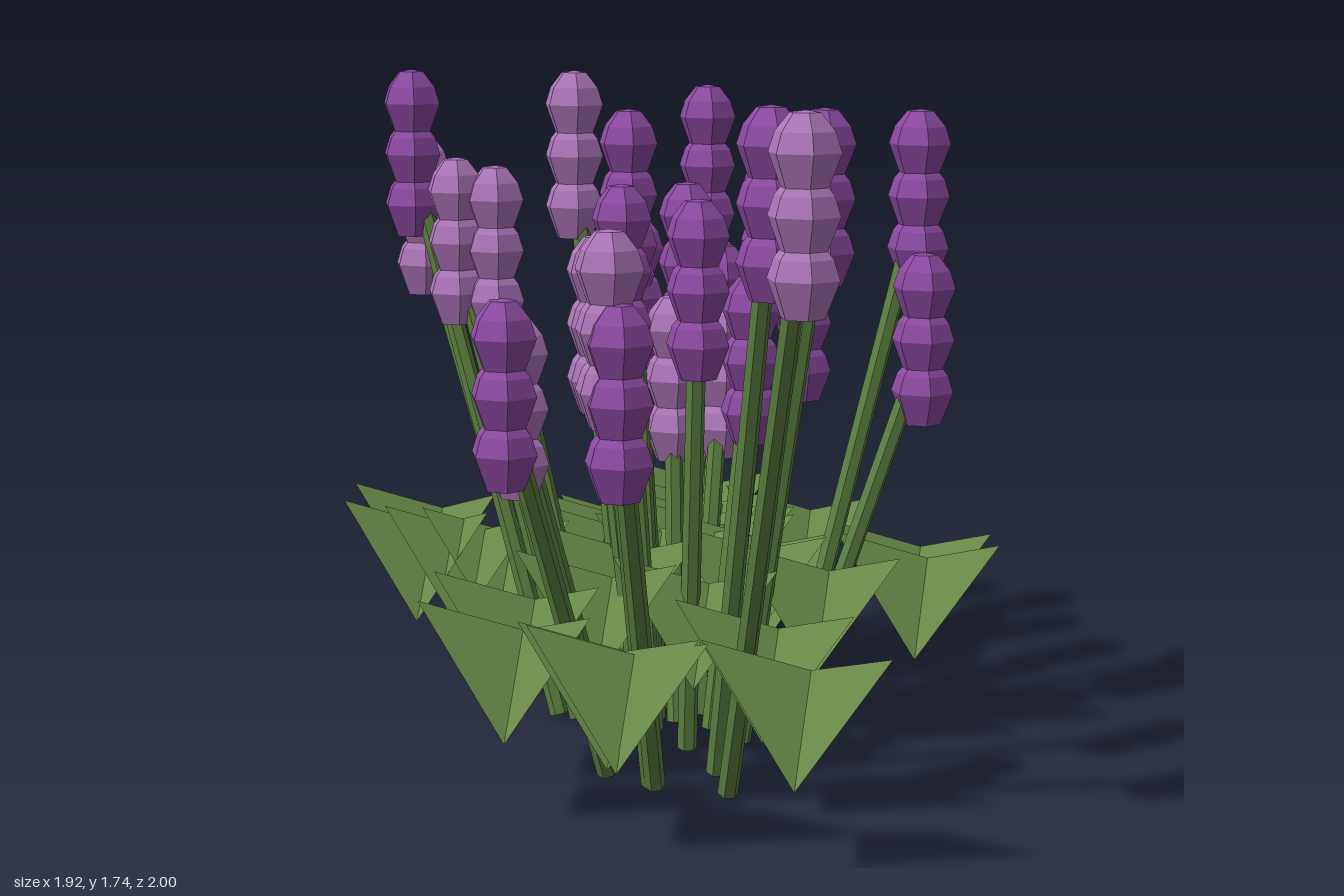
import * as THREE from 'three';

const material = (name, color, side = THREE.FrontSide) => {
  const m = new THREE.MeshStandardMaterial({ color, side });
  m.name = name;
  return m;
};

// Faceted normals for the low-poly look
const facet = (geometry) => {
  const g = geometry.index ? geometry.toNonIndexed() : geometry;
  g.computeVertexNormals();
  return g;
};

// Each flower: x, z, height of the tip, 1 = pale bloom
const FLOWERS = [
  [-0.115, -0.905, 1.37, 0], [-0.02, -0.655, 1.685, 0], [0.01, -0.64, 1.26, 0],
  [0.265, -0.665, 1.25, 0], [-0.745, -0.31, 1.55, 1], [-0.67, -0.095, 1.74, 0],
  [-0.53, -0.07, 1.51, 1], [-0.425, -0.09, 1.49, 1], [-0.24, -0.2, 1.74, 1],
  [-0.135, -0.385, 1.34, 0], [-0.15, -0.355, 1.27, 0], [-0.005, -0.445, 1.43, 0],
  [0.09, -0.47, 1.26, 0], [0.12, -0.375, 1.13, 1], [-0.09, -0.215, 1.64, 0],
  [0.045, -0.2, 1.15, 1], [-0.03, -0.01, 1.46, 0], [0.305, -0.235, 1.53, 0],
  [0.28, -0.15, 1.22, 0], [0.675, -0.34, 1.65, 0], [0.725, -0.22, 1.29, 0],
  [0.52, 0.01, 1.67, 0], [0.015, 0.275, 1.36, 1], [0.27, 0.245, 1.455, 0],
  [-0.085, 0.55, 1.19, 1], [0.565, 0.59, 1.71, 0], [0, 0.82, 1.27, 0],
  [0.295, 0.905, 1.45, 1], [0.325, 0.925, 1.29, 0], [0.74, 0.9, 1.72, 1],
];

export function createModel() {
  const stemGreen = material('stem green', 0x5c8040);
  const leafGreen = material('leaf green', 0x6b8e4a, THREE.DoubleSide);
  const purple = material('deep purple', 0x8e4aa3);
  const lilac = material('pale lilac', 0xae76ba);

  // Six-sided bud, tip at y = 0, tapering to a flat underside
  const budProfile = [
    [0, -0.175], [0.05, -0.175], [0.083, -0.09], [0.068, -0.045], [0.035, -0.005], [0, 0],
  ].map(([r, y]) => new THREE.Vector2(r, y));
  const budGeometry = facet(new THREE.LatheGeometry(budProfile, 6, Math.PI / 2));

  // Folded leaf: two triangles meeting along a central crease
  const left = [-0.22, 0.54, 0.02], right = [0.22, 0.54, 0.02];
  const foot = [0, 0.21, 0.02], notch = [0, 0.46, -0.1];
  const leafGeometry = new THREE.BufferGeometry();
  leafGeometry.setAttribute('position', new THREE.Float32BufferAttribute(
    [left, foot, notch, notch, foot, right].flat(), 3));
  leafGeometry.computeVertexNormals();

  const up = new THREE.Vector3(0, 1, 0);
  const model = new THREE.Group();
  model.name = 'flowerClump';

  FLOWERS.forEach(([x, z, tip, pale]) => {
    const flower = new THREE.Group();
    flower.name = 'flower';

    // Stem leans outward from the tighter ring of roots
    const base = new THREE.Vector3(0.09 + 0.45 * x, 0.015, 0.035 + 0.45 * z);
    const end = new THREE.Vector3(x, tip - 0.25, z);
    const axis = end.clone().sub(base);
    const stem = new THREE.Mesh(
      facet(new THREE.CylinderGeometry(0.024, 0.026, axis.length(), 6)), stemGreen);
    stem.name = 'stem';
    stem.position.copy(base).add(end).multiplyScalar(0.5);
    stem.quaternion.setFromUnitVectors(up, axis.normalize());
    flower.add(stem);

    // Three stacked buds
    for (let i = 0; i < 3; i++) {
      const bud = new THREE.Mesh(budGeometry, pale ? lilac : purple);
      bud.name = 'bud';
      bud.position.set(x, tip - i * 0.136, z);
      flower.add(bud);
    }

    const leaf = new THREE.Mesh(leafGeometry, leafGreen);
    leaf.name = 'leaf';
    leaf.position.set(x, 0, z);
    flower.add(leaf);

    model.add(flower);
  });

  return model;
}
